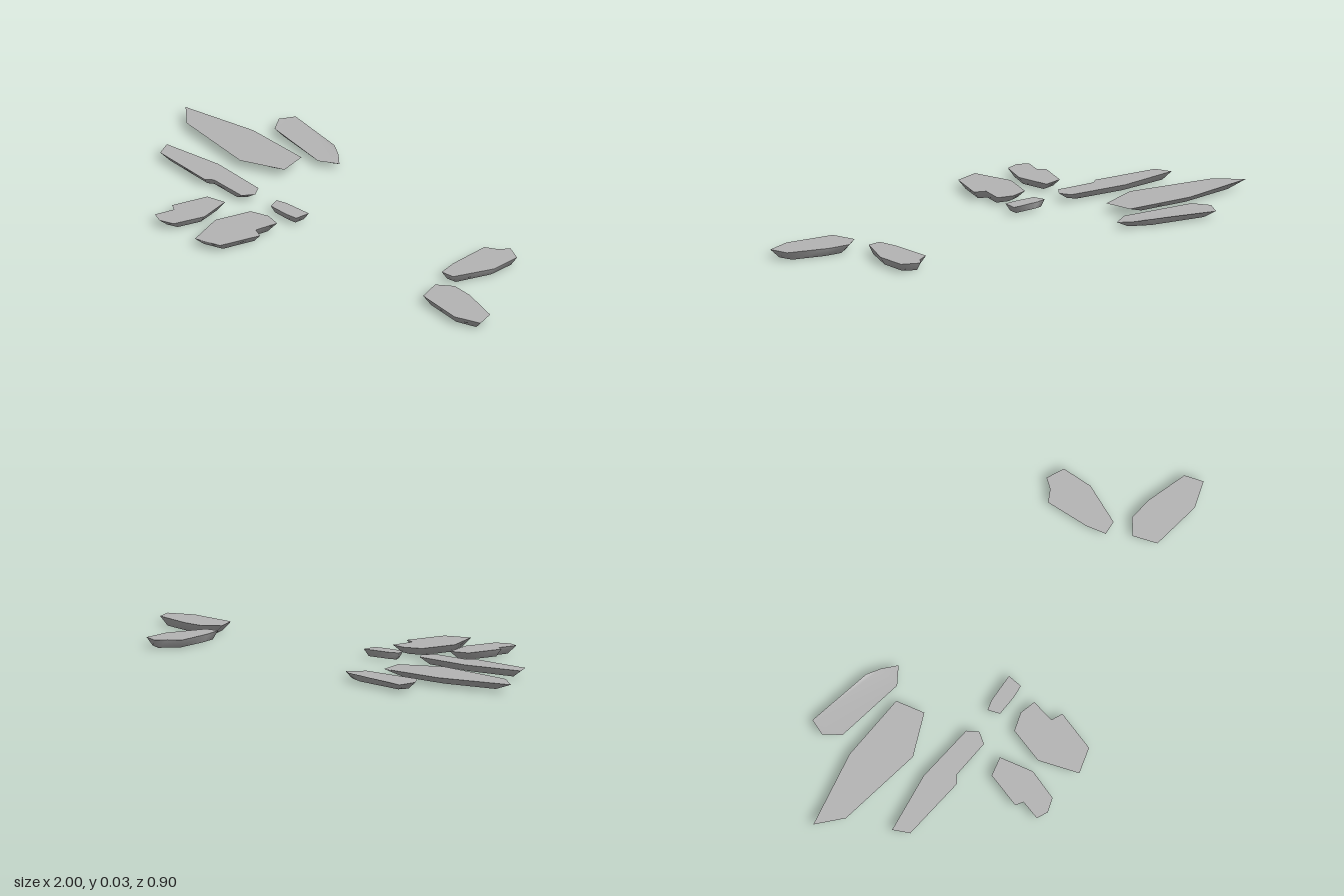
import * as THREE from 'three';

const TOP = 0.034;

// Each shard: clockwise top outline [x, z, optional top height], underside height and inset on x and z
const shards = [
  { name: 'backShard', base: 0.005, inset: [0.04, 0.03], outline: [
    [-0.69, -0.455, 0.03], [-0.42, -0.425], [-0.365, -0.40, 0.027], [-0.31, -0.36, 0.024],
    [-0.375, -0.31, 0.026], [-0.66, -0.33], [-0.71, -0.39]] },
  { name: 'largeShard', base: 0.008, inset: [0.08, 0.035], outline: [
    [-1, -0.175], [-0.70, -0.26], [-0.425, -0.27], [-0.39, -0.16], [-0.55, -0.075], [-0.90, -0.10]] },
  { name: 'longShard', base: 0.008, inset: [0.04, 0.02], outline: [
    [-0.82, 0.06], [-0.58, 0.005], [-0.34, 0.005], [-0.31, 0.045],
    [-0.335, 0.09], [-0.495, 0.095], [-0.52, 0.12], [-0.785, 0.12]] },
  { name: 'smallShard', base: 0.007, inset: [0.015, 0.012], outline: [
    [-0.225, 0.01], [-0.185, -0.005], [-0.07, -0.02], [-0.07, 0.04], [-0.12, 0.05], [-0.205, 0.055]] },
  { name: 'frontShard', base: 0.004, inset: [0.025, 0.035], outline: [
    [-0.22, 0.14], [-0.15, 0.11], [-0.085, 0.12], [-0.095, 0.215],
    [-0.05, 0.23], [-0.085, 0.395], [-0.185, 0.435], [-0.25, 0.285]] },
  { name: 'frontOuterShard', base: 0.005, inset: [0.02, 0.035], outline: [
    [-0.41, 0.195], [-0.335, 0.17], [-0.295, 0.30], [-0.325, 0.425],
    [-0.38, 0.45], [-0.425, 0.435], [-0.41, 0.355], [-0.44, 0.34]] },
  { name: 'farBackShard', base: 0.002, inset: [0.02, 0.02], outline: [
    [0.545, -0.37], [0.59, -0.40], [0.615, -0.44], [0.685, -0.415],
    [0.70, -0.295], [0.65, -0.135], [0.595, -0.125], [0.57, -0.20]] },
  { name: 'farSideShard', base: 0, inset: [0.035, 0.02], outline: [
    [0.655, -0.045], [0.71, -0.095], [0.80, -0.095], [0.965, -0.06],
    [0.995, 0.01], [0.895, 0.055], [0.695, 0.045]] },
];

// Flat top with its own normals; smooth-shaded tapering sides and underside
function shardGeometry({ outline, base, inset }) {
  const n = outline.length;
  const shape = outline.map(([x, z]) => new THREE.Vector2(x, z));
  const box = new THREE.Box2().setFromPoints(shape);
  const mid = box.getCenter(new THREE.Vector2());
  const size = box.getSize(new THREE.Vector2());
  const sx = 1 - (2 * inset[0]) / size.x;
  const sz = 1 - (2 * inset[1]) / size.y;

  const top = outline.flatMap(([x, z, y = TOP]) => [x, y, z]);
  const bottom = outline.flatMap(([x, z]) => [mid.x + (x - mid.x) * sx, base, mid.y + (z - mid.y) * sz]);

  const index = [];
  for (const [a, b, c] of THREE.ShapeUtils.triangulateShape(shape, [])) {
    const p = shape[a], q = shape[b], r = shape[c];
    const up = (q.y - p.y) * (r.x - p.x) - (q.x - p.x) * (r.y - p.y) > 0;
    const [s, t] = up ? [b, c] : [c, b];
    index.push(a, s, t);                             // top face
    index.push(2 * n + a, 2 * n + t, 2 * n + s);     // underside
  }
  for (let i = 0; i < n; i++) {
    const j = (i + 1) % n;
    const ti = n + i, tj = n + j, bi = 2 * n + i, bj = 2 * n + j;
    index.push(tj, bj, ti, bj, bi, ti);              // side
  }

  const geometry = new THREE.BufferGeometry();
  geometry.setAttribute('position', new THREE.Float32BufferAttribute([...top, ...top, ...bottom], 3));
  geometry.setIndex(index);
  geometry.computeVertexNormals();
  return geometry;
}

export function createModel() {
  const group = new THREE.Group();
  group.name = 'stoneShards';
  const stone = new THREE.MeshStandardMaterial({ color: 0xb4b4b4 });
  stone.name = 'grey stone';

  for (const shard of shards) {
    const mesh = new THREE.Mesh(shardGeometry(shard), stone);
    mesh.name = shard.name;
    group.add(mesh);
  }
  return group;
}
